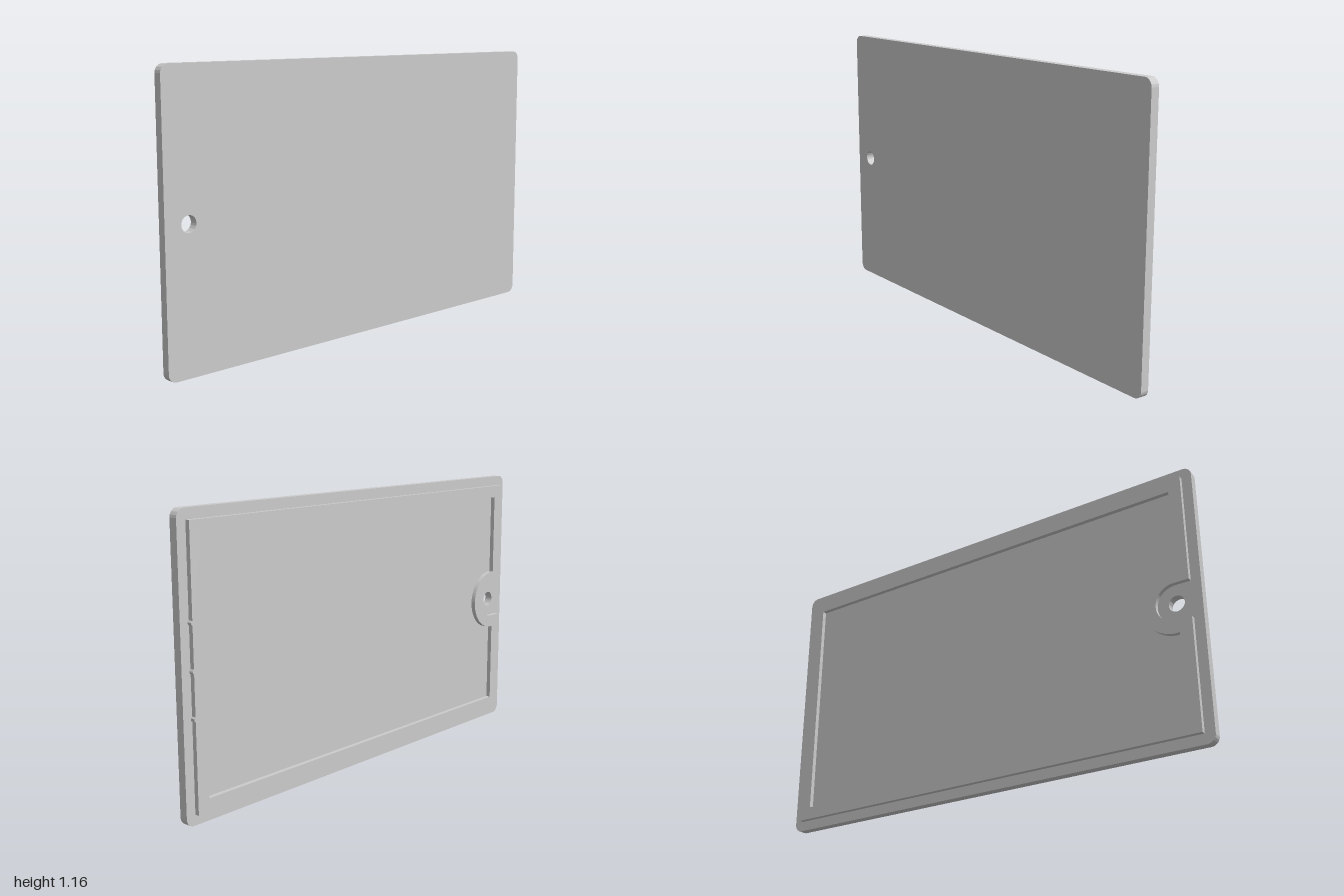
import * as THREE from 'three';
import { toCreasedNormals } from 'three/addons/utils/BufferGeometryUtils.js';

const HEIGHT = 1.163, MID = HEIGHT / 2;
const BACK = -0.027, STEP = -0.008, FRONT = 0.027;
const HOLE_X = -0.895, HOLE_R = 0.033;

const material = new THREE.MeshStandardMaterial({ color: 0xcccccc });

// Extrude an XY shape between two depths, keeping edges crisp and arcs smooth
function slab(name, shape, z0, z1) {
  const geometry = new THREE.ExtrudeGeometry(shape, {
    depth: z1 - z0, bevelEnabled: false, curveSegments: 24,
  });
  geometry.translate(0, 0, z0);
  const mesh = new THREE.Mesh(toCreasedNormals(geometry, 0.6), material);
  mesh.name = name;
  return mesh;
}

// Cover plate: rounded rectangle with a screw hole
function plateShape() {
  const r = 0.035, q = Math.PI / 2, s = new THREE.Shape();
  s.absarc(1 - r, HEIGHT - r, r, 0, q);
  s.absarc(-1 + r, HEIGHT - r, r, q, 2 * q);
  s.absarc(-1 + r, r, r, 2 * q, 3 * q);
  s.absarc(1 - r, r, r, 3 * q, 4 * q);
  s.closePath();
  const hole = new THREE.Path();
  hole.absarc(HOLE_X, MID, HOLE_R, 0, Math.PI * 2, true);
  s.holes.push(hole);
  return s;
}

// Locating lip: a rectangular rim that loops around the screw hole
function lipShape() {
  const x = 0.959, margin = 0.042, wall = 0.053;
  const slotR = 0.079, loopR = 0.132, q = Math.PI / 2;
  const top = HEIGHT - margin, bottom = margin;

  const s = new THREE.Shape();
  s.moveTo(-x, MID + slotR);
  s.lineTo(-x, top);
  s.lineTo(x, top);
  // Three small snap bumps on the edge opposite the screw
  for (const dy of [0.176, 0, -0.176]) s.absarc(x - 0.004, MID + dy, 0.01, q * 0.74, -q * 0.74, true);
  s.lineTo(x, bottom);
  s.lineTo(-x, bottom);
  s.lineTo(-x, MID - slotR);
  s.absarc(HOLE_X, MID, slotR, -q, q);
  s.closePath();

  // Inner pocket, bitten into by the loop
  const ix = x - wall, pocket = new THREE.Path();
  pocket.moveTo(-ix, MID - loopR);
  pocket.lineTo(-ix, bottom + wall);
  pocket.lineTo(ix, bottom + wall);
  pocket.lineTo(ix, top - wall);
  pocket.lineTo(-ix, top - wall);
  pocket.lineTo(-ix, MID + loopR);
  pocket.absarc(HOLE_X, MID, loopR, q, -q, true);
  pocket.closePath();
  s.holes.push(pocket);
  return s;
}

export function createModel() {
  const group = new THREE.Group();
  group.name = 'coverPanel';
  group.add(slab('plate', plateShape(), STEP, FRONT));
  group.add(slab('lip', lipShape(), BACK, STEP));
  return group;
}
